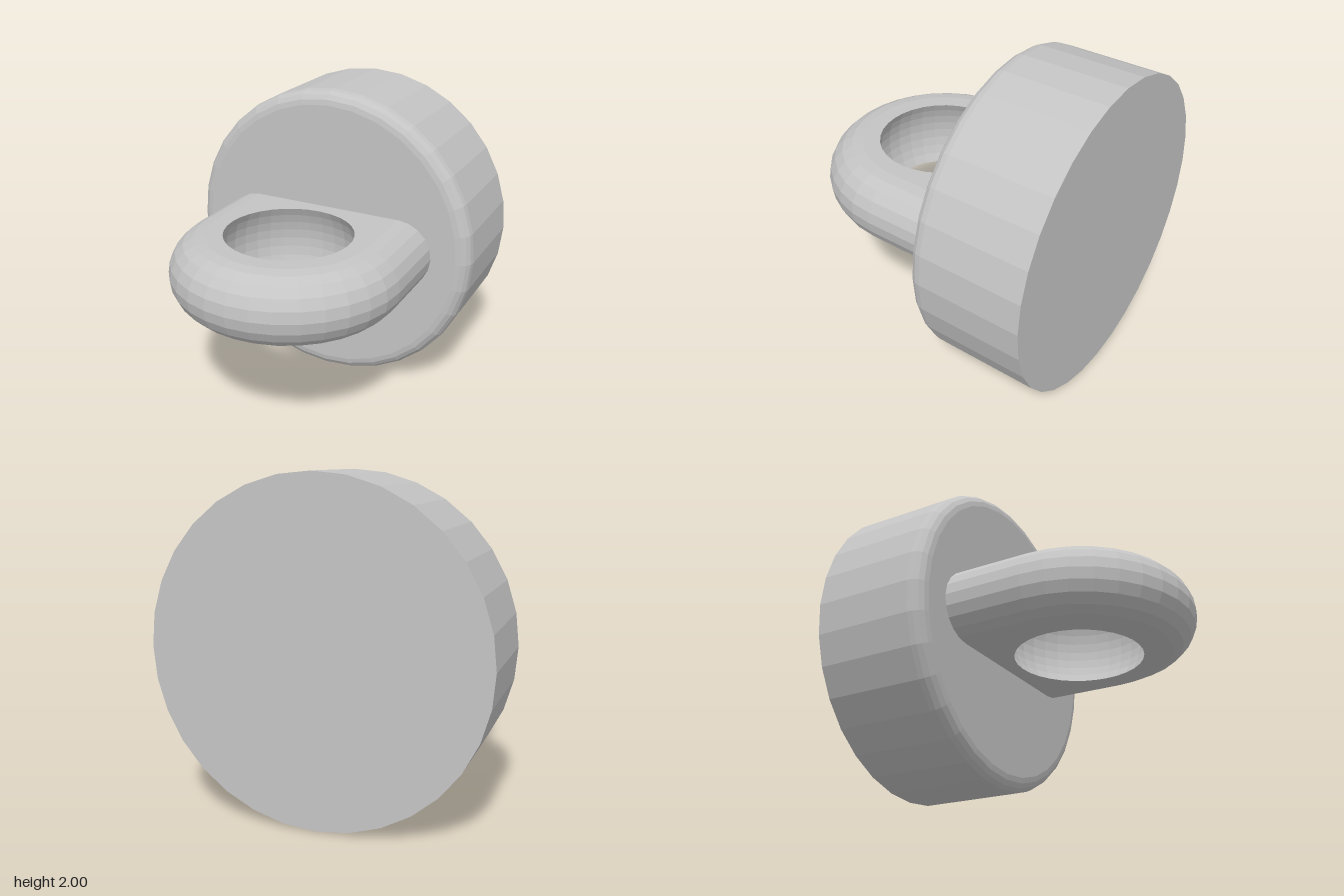
import * as THREE from 'three';

const grey = new THREE.MeshStandardMaterial({ color: 0xc4c4c4, flatShading: true });
grey.name = 'light grey';

const SEG = 32;      // facets round a full circle
const BACK = -1;     // rear face of the disc
const FACE = -0.255; // front face of the disc
const EYE_Z = 0.25;  // centre of the eye
const HOLE = 0.405;  // opening radius
const HALF = 0.23;   // half thickness of the eye, also its edge radius
const FLAT = 0.515;  // where the rounded edge begins

function arc(cx, cy, r, from, to, steps) {
  const pts = [];
  for (let i = 0; i <= steps; i++) {
    const a = from + (to - from) * i / steps;
    pts.push(new THREE.Vector2(cx + r * Math.cos(a), cy + r * Math.sin(a)));
  }
  return pts;
}

function add(parent, name, geometry, y = 0, z = 0) {
  const mesh = new THREE.Mesh(geometry, grey);
  mesh.name = name;
  mesh.position.set(0, y, z);
  parent.add(mesh);
  return mesh;
}

export function createModel() {
  const model = new THREE.Group();
  model.name = 'magnetHook';

  // Disc with a rounded front rim
  const rim = 0.09;
  const discProfile = [
    new THREE.Vector2(0, BACK),
    new THREE.Vector2(1, BACK),
    ...arc(1 - rim, FACE - rim, rim, 0, Math.PI / 2, 4),
    new THREE.Vector2(0, FACE),
  ];
  add(model, 'disc', new THREE.LatheGeometry(discProfile, SEG).rotateX(Math.PI / 2), 1);

  const eye = new THREE.Group();
  eye.name = 'eye';
  eye.position.set(0, 1, EYE_Z);
  model.add(eye);

  // Rounded outer edge: half ring in front, straight sides to the disc
  const edge = arc(FLAT, 0, HALF, -Math.PI / 2, Math.PI / 2, 10);
  add(eye, 'eyeFrontEdge', new THREE.LatheGeometry(edge, SEG / 2, -Math.PI / 2, Math.PI));
  const length = EYE_Z - FACE + 0.02;
  for (const [name, side] of [['eyeLeftSide', 1], ['eyeRightSide', -1]]) {
    const bar = new THREE.CylinderGeometry(HALF, HALF, length, 10, 1, true, side > 0 ? 0 : Math.PI, Math.PI);
    bar.rotateX(Math.PI / 2).translate(side * FLAT, 0, -length / 2);
    add(eye, name, bar);
  }

  // Flat faces above and below, pierced by the opening
  const outline = new THREE.Shape([
    new THREE.Vector2(-FLAT, length),
    ...arc(0, 0, FLAT, Math.PI, 2 * Math.PI, SEG / 2),
    new THREE.Vector2(FLAT, length),
  ]);
  outline.holes.push(new THREE.Path(arc(0, 0, HOLE, 0, 2 * Math.PI, SEG).slice(0, -1)));
  add(eye, 'eyeTop', new THREE.ShapeGeometry(outline).rotateX(-Math.PI / 2), HALF);
  add(eye, 'eyeBottom', new THREE.ShapeGeometry(outline).rotateX(-Math.PI / 2).rotateZ(Math.PI), -HALF);

  // Hollow of the eye, bulging outward like the inside of a ball
  const tilt = Math.atan2(HALF, HOLE);
  const hollow = arc(0, 0, Math.hypot(HALF, HOLE), tilt, -tilt, 8);
  add(eye, 'eyeHollow', new THREE.LatheGeometry(hollow, SEG));

  return model;
}
